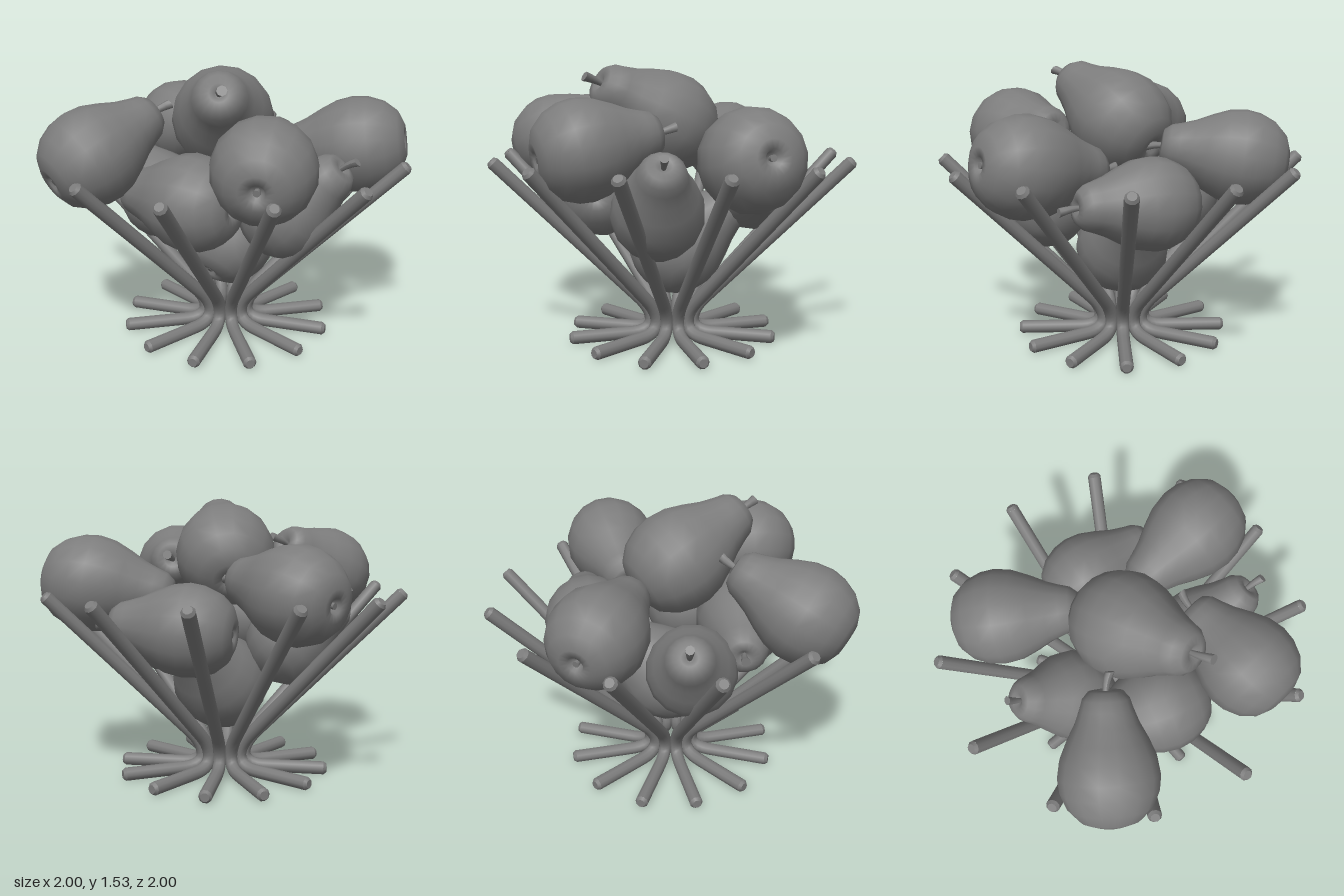
import * as THREE from 'three';

const grey = new THREE.MeshStandardMaterial({ color: 0x7c7c7c });
const V = (x, y, z = 0) => new THREE.Vector3(x, y, z);
const UP = V(0, 1, 0);

function mesh(name, geometry) {
  const m = new THREE.Mesh(geometry, grey);
  m.name = name;
  return m;
}

// One bent rod in the XY plane: flat foot, tight bend, slanted arm
const ROD_R = 0.036;
function rodCurve() {
  const path = new THREE.CurvePath();
  path.add(new THREE.LineCurve3(V(0.57, 0.04), V(0.24, 0.04)));
  path.add(new THREE.CubicBezierCurve3(V(0.24, 0.04), V(0.085, 0.04), V(0.093, 0.143), V(0.2, 0.25)));
  path.add(new THREE.LineCurve3(V(0.2, 0.25), V(0.972, 1.027)));
  return path;
}

// Chamfered end cap pointing along dir
function rodCap(position, dir) {
  const cap = mesh('rodCap', new THREE.CylinderGeometry(0.024, ROD_R, 0.016, 10));
  cap.quaternion.setFromUnitVectors(UP, dir);
  cap.position.copy(position).addScaledVector(dir, 0.008);
  return cap;
}

function makeRod(angle) {
  const rod = new THREE.Group();
  rod.name = 'rod';
  rod.add(
    mesh('rodBody', new THREE.TubeGeometry(rodCurve(), 56, ROD_R, 10)),
    rodCap(V(0.57, 0.04), V(1, 0, 0)),
    rodCap(V(0.972, 1.027), V(1, 1, 0).normalize())
  );
  rod.rotation.y = -angle;
  return rod;
}

// Pear profile: radius, height above the widest point; dimpled at both ends
const PROFILE = [
  [0, -0.195], [0.03, -0.2], [0.044, -0.236], [0.09, -0.242], [0.162, -0.212], [0.222, -0.145],
  [0.256, -0.06], [0.265, 0.02], [0.25, 0.11], [0.211, 0.2], [0.167, 0.285], [0.139, 0.36],
  [0.123, 0.412], [0.09, 0.452], [0.047, 0.46], [0.022, 0.435], [0, 0.43]
].map(([r, y]) => new THREE.Vector2(r, y));
const pearGeometry = new THREE.LatheGeometry(PROFILE, 16);

// Stem: slightly curved and flared at the free end
const stemGeometry = new THREE.CylinderGeometry(0.026, 0.013, 0.12, 8, 4);
const sp = stemGeometry.attributes.position;
for (let i = 0; i < sp.count; i++) {
  const t = sp.getY(i) / 0.12 + 0.5;
  sp.setX(i, sp.getX(i) + 0.025 * t * t);
}
stemGeometry.computeVertexNormals();

// Pear with its widest point at centre and its neck towards tip
function makePear(name, centre, tip, size, length = 1) {
  const pear = new THREE.Group();
  pear.name = name;
  const stem = mesh('stem', stemGeometry);
  stem.position.y = 0.49;
  const bud = mesh('calyxBud', new THREE.CylinderGeometry(0.014, 0.018, 0.035, 8));
  bud.position.y = -0.212;
  pear.add(mesh('pearBody', pearGeometry), stem, bud);
  const c = V(...centre);
  pear.position.copy(c);
  pear.quaternion.setFromUnitVectors(UP, V(...tip).sub(c).normalize());
  pear.scale.set(size, size * length, size);
  return pear;
}

// Name, widest point, neck tip, size, relative length
const PEARS = [
  ['topPear', [-0.005, 1.22, 0.02], [0.29, 1.46, 0.36], 1.04],
  ['frontPear', [-0.245, 1.1, 0.75], [-0.17, 1.29, 0.36], 0.97, 0.98],
  ['frontLeftPear', [0.585, 1.115, 0.36], [0.375, 1.185, 0.03], 0.99, 0.95],
  ['backLeftPear', [0.54, 1.08, -0.49], [0.14, 1.01, -0.27], 0.99, 1.02],
  ['backPear', [-0.11, 0.865, -0.435], [0.26, 0.89, -0.575], 0.92, 1.02],
  ['backRightPear', [-0.62, 1.055, -0.235], [-0.25, 1.11, -0.17], 0.96],
  ['leftPear', [0.42, 0.78, 0.0], [0.72, 1.07, -0.09], 0.92],
  ['rightPear', [-0.315, 0.745, 0.18], [-0.59, 0.975, 0.22], 0.92, 0.93],
  ['lowerFrontPear', [0.14, 0.86, 0.375], [-0.3, 0.85, 0.45], 0.97],
  ['bottomPear', [0.0, 0.52, -0.02], [-0.03, 0.78, -0.33], 0.98]
];

export function createModel() {
  const model = new THREE.Group();
  model.name = 'pearBowl';

  // Bowl of twelve rods
  const bowl = new THREE.Group();
  bowl.name = 'rodBowl';
  for (let i = 0; i < 12; i++) {
    bowl.add(makeRod(THREE.MathUtils.degToRad(4 + i * 30)));
  }

  // Heap of pears
  const fruit = new THREE.Group();
  fruit.name = 'pears';
  PEARS.forEach((p) => fruit.add(makePear(...p)));

  model.add(bowl, fruit);
  return model;
}
